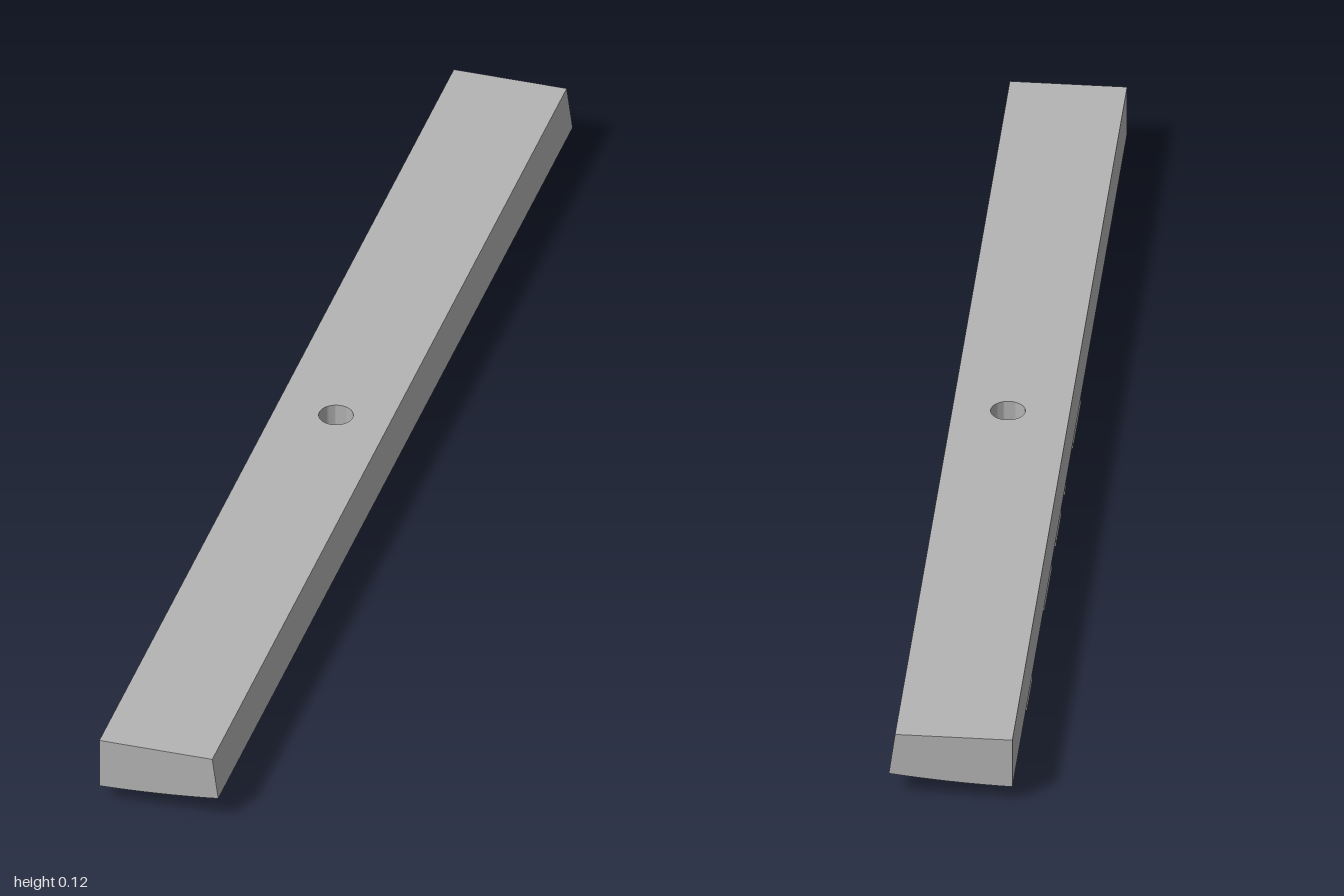
import * as THREE from 'three';
import { toCreasedNormals } from 'three/addons/utils/BufferGeometryUtils.js';

const TOP = 0.115, DEPTH = 0.028, T = 0.008;

// height of the gently curved underside
const underside = (x) => 0.031 + 0.07 * x + 0.25 * x * x;

export function createModel() {
  const group = new THREE.Group();
  const grey = new THREE.MeshStandardMaterial({ color: 0xb4b4b4 });
  grey.name = 'light grey';

  const add = (geo, name) => {
    const mesh = new THREE.Mesh(toCreasedNormals(geo, 0.6), grey);
    mesh.name = name;
    group.add(mesh);
  };

  // bar end sections, extruded along z
  const xs = [-0.1, -0.075, -0.05, -0.025, 0, 0.025, 0.05, 0.075, 0.1];
  const profile = new THREE.Shape([
    ...xs.map((x) => new THREE.Vector2(x, underside(x))),
    new THREE.Vector2(0.09, TOP), new THREE.Vector2(-0.1, TOP),
  ]);
  for (const z of [-1, 0.05]) {
    const geo = new THREE.ExtrudeGeometry(profile, { depth: 0.95, bevelEnabled: false });
    add(geo.translate(0, 0, z), z < 0 ? 'barBack' : 'barFront');
  }

  // bar middle with the round through hole, bent to the same profile
  const plan = new THREE.Shape([
    ...xs.map((x) => new THREE.Vector2(x, -0.05)),
    ...xs.slice().reverse().map((x) => new THREE.Vector2(x, 0.05)),
  ]);
  plan.holes.push(new THREE.Path().absarc(0, 0, 0.028, 0, Math.PI * 2, true));
  const middle = new THREE.ExtrudeGeometry(plan, { depth: 1, bevelEnabled: false, curveSegments: 32 });
  middle.rotateX(-Math.PI / 2);
  const p = middle.attributes.position;
  for (let i = 0; i < p.count; i++) {
    const x = p.getX(i);
    if (p.getY(i) < 0.5) p.setY(i, underside(x));
    else p.setXYZ(i, x > 0 ? x * 0.9 : x, TOP, p.getZ(i));
    // keep the hole wall vertical
    if (Math.hypot(x, p.getZ(i)) < 0.03) p.setX(i, x);
  }
  add(middle, 'barMiddle');

  // hang a shape under the bar so that it follows the underside
  const hang = (geo, x, z, name) => {
    geo.translate(x, 0, z);
    const q = geo.attributes.position;
    for (let i = 0; i < q.count; i++) q.setY(i, q.getY(i) + underside(q.getX(i)));
    add(geo, name);
  };
  const block = (x0, x1, z0, z1, name, depth = DEPTH) => {
    const geo = new THREE.BoxGeometry(x1 - x0, depth + 0.004, z1 - z0, 6, 1, 1);
    geo.translate(0, 0.002 - depth / 2, 0);
    hang(geo, (x0 + x1) / 2, (z0 + z1) / 2, name);
  };
  const ring = (x, z, ro, ri, name) => {
    const pts = [[ri, 0.003], [ri, -DEPTH], [ro, -DEPTH], [ro, 0.003]].map((a) => new THREE.Vector2(...a));
    hang(new THREE.LatheGeometry(pts, 28), x, z, name);
  };
  const peg = (x, z, r, depth, name) => {
    const geo = new THREE.CylinderGeometry(r, r, depth + 0.004, 20);
    hang(geo.translate(0, 0.002 - depth / 2, 0), x, z, name);
  };

  // edge ribs with short returns at both ends
  for (const [z0, z1] of [[0.08, 0.22], [-0.22, -0.12], [-0.415, -0.285], [-0.72, -0.63]]) {
    block(-0.098, -0.09, z0, z1, 'edgeRib');
    for (const z of [z0, z1 - T]) block(-0.09, -0.078, z, z + T, 'edgeRibReturn');
  }
  block(0.077, 0.085, 0.28, 0.465, 'longRib');
  for (const z of [0.28, 0.457]) block(0.063, 0.077, z, z + T, 'longRibReturn');

  // cross ribs
  block(-0.025, 0.04, 0.62, 0.628, 'crossRib');
  block(-0.095, 0.04, 0.326, 0.334, 'crossRib');

  // ring pair beside the front cross rib
  ring(-0.05, 0.375, 0.032, 0.025, 'ring');
  ring(0.016, 0.375, 0.032, 0.025, 'ring');

  // two matching clusters of rings and a cross rib
  for (const z of [-0.135, -0.64]) {
    ring(0.035, z, 0.04, 0.032, 'largeRing');
    ring(-0.035, z, 0.029, 0.021, 'smallRing');
    block(-0.09, 0.088, z + 0.04, z + 0.048, 'clusterRib');
    block(-0.004, 0.004, z - 0.02, z + 0.04, 'clusterWeb');
  }

  // locating pegs
  for (const z of [0.937, -0.947]) {
    peg(0, z, 0.017, 0.013, 'endPegCollar');
    peg(0, z, 0.011, 0.024, 'endPeg');
  }
  peg(-0.05, 0.055, 0.016, DEPTH, 'middlePeg');
  block(-0.098, -0.074, -0.062, -0.046, 'edgeTab');

  return group;
}
